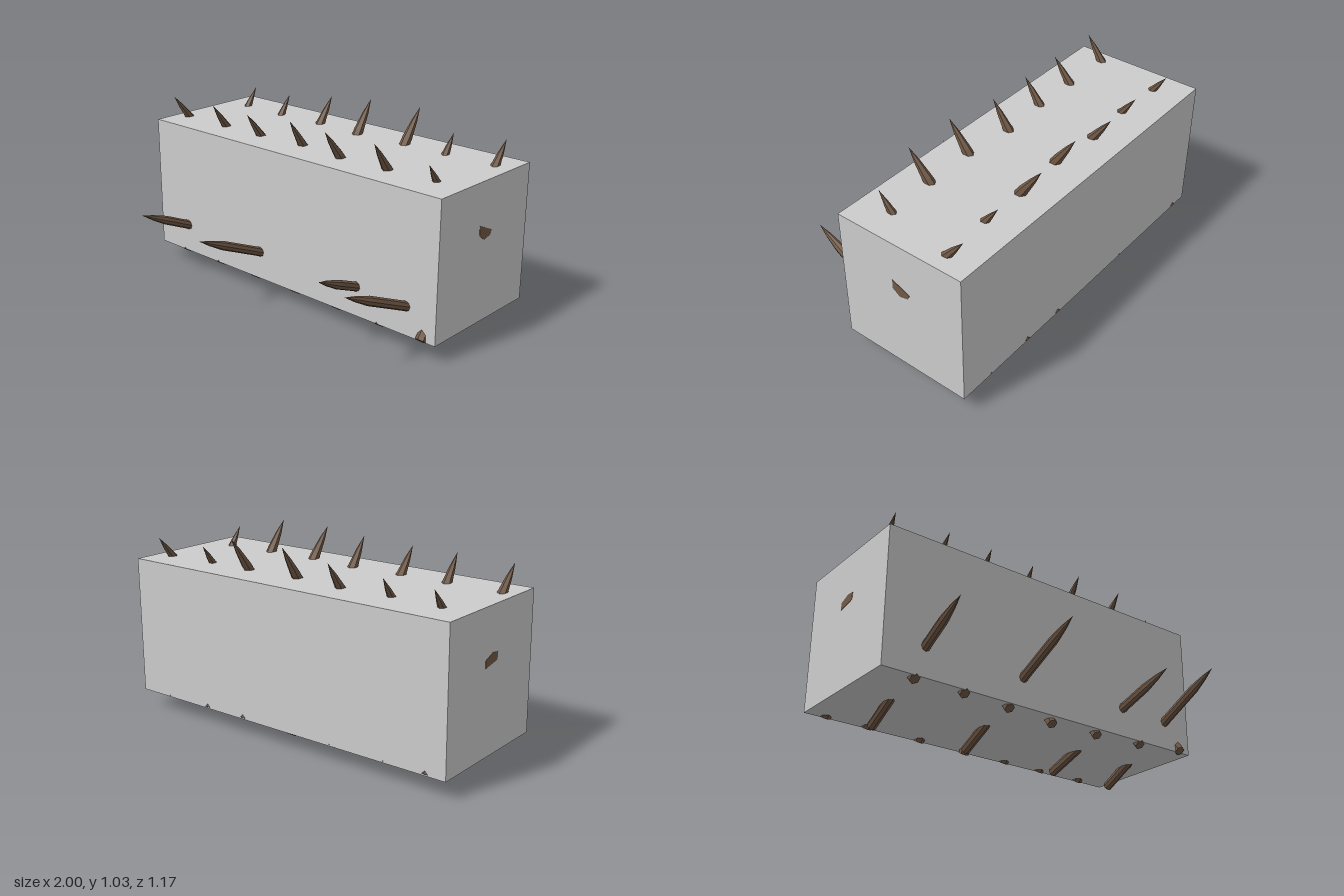
import * as THREE from 'three';

const wood = new THREE.MeshStandardMaterial({ color: 0x715946 });
wood.name = 'brown wood';
wood.flatShading = true;
const grey = new THREE.MeshStandardMaterial({ color: 0xcccccc });
grey.name = 'light grey';

const UP = new THREE.Vector3(0, 1, 0);

// Sharpened stake from the centre of its blunt end to its point
function stake(name, base, tip, radius, point, sides) {
  const from = new THREE.Vector3(...base), to = new THREE.Vector3(...tip);
  const length = from.distanceTo(to);
  const profile = [[0, 0], [radius, 0], [radius * 0.95, length - point], [radius * 0.55, length - point * 0.45], [0, length]]
    .map(([r, y]) => new THREE.Vector2(r, y));
  const mesh = new THREE.Mesh(new THREE.LatheGeometry(profile, sides), wood);
  mesh.position.copy(from);
  mesh.quaternion.setFromUnitVectors(UP, to.sub(from).normalize());
  mesh.name = name;
  return mesh;
}

// Thin sawn face of the crossbeam, outlined in z and y
function beamEnd(points, side) {
  const shape = new THREE.Shape(points.map(([z, y]) => new THREE.Vector2(-z, y)));
  const geometry = new THREE.ExtrudeGeometry(shape, { depth: 0.004, bevelEnabled: false });
  geometry.rotateY(Math.PI / 2);
  const mesh = new THREE.Mesh(geometry, wood);
  mesh.position.x = side > 0 ? 0.997 : -1.001;
  mesh.name = side > 0 ? 'leftBeamEnd' : 'rightBeamEnd';
  return mesh;
}

export function createModel() {
  const model = new THREE.Group();
  model.name = 'spikedBarricade';

  // Solid block
  const block = new THREE.Mesh(new THREE.BoxGeometry(1.998, 0.75, 0.75), grey);
  block.position.set(0, 0.475, -0.203);
  block.name = 'block';
  model.add(block);

  // Crossbeam with its slanted ends just breaking the surface
  const beam = new THREE.Mesh(new THREE.CylinderGeometry(0.05, 0.05, 1.98, 6), wood);
  beam.rotation.z = Math.PI / 2;
  beam.position.set(0, 0.59, -0.21);
  beam.name = 'crossbeam';
  model.add(beam);
  model.add(beamEnd([[-0.157, 0.625], [-0.157, 0.572], [-0.2, 0.542], [-0.25, 0.555], [-0.262, 0.58]], 1));
  model.add(beamEnd([[-0.155, 0.612], [-0.158, 0.572], [-0.262, 0.553], [-0.265, 0.592], [-0.2, 0.617]], -1));

  // Crossed stakes: tip x, tip y, tip z, foot x, lowest foot y
  const forward = [
    [-0.93, 0.98, 0.1, -0.885, 0.08], [-0.605, 0.985, 0.1, -0.65, 0.075], [-0.337, 0.985, 0.1, -0.325, 0.075],
    [-0.04, 1.0, 0.08, -0.045, 0.06], [0.248, 1.01, 0.13, 0.25, 0.08], [0.558, 1.01, 0.12, 0.505, 0.08],
    [0.838, 0.95, 0.055, 0.795, 0.075]
  ];
  const backward = [
    [-0.845, 0.95, -0.47, -0.805, 0.07], [-0.555, 0.955, -0.46, -0.52, 0.07], [-0.26, 0.99, -0.5, -0.245, 0.065],
    [0.035, 1.025, -0.49, 0.04, 0.055], [0.348, 1.03, -0.52, 0.34, 0.06], [0.607, 0.95, -0.47, 0.64, 0.07],
    [0.898, 0.965, -0.51, 0.92, 0.09]
  ];
  for (const [x, y, z, footX, low] of forward)
    model.add(stake('forwardStake', [footX, low + 0.017, -0.537 - (low - 0.06) * 1.36], [x, y, z], 0.028, 0.18, 6));
  for (const [x, y, z, footX, low] of backward)
    model.add(stake('backwardStake', [footX, low + 0.017, 0.133 + (low - 0.055) * 1.38], [x, y, z], 0.028, 0.18, 6));

  // Long low stakes pointing out of the front: tip x, y, z, foot x
  for (const [x, y, z, footX] of [
    [-0.787, 0.4, 0.49, -0.725], [-0.2, 0.435, 0.588, -0.15], [0.535, 0.4, 0.49, 0.45], [0.78, 0.432, 0.585, 0.87]
  ]) model.add(stake('longStake', [footX, 0.028, -0.368], [x, y, z], 0.026, 0.17, 8));

  return model;
}
